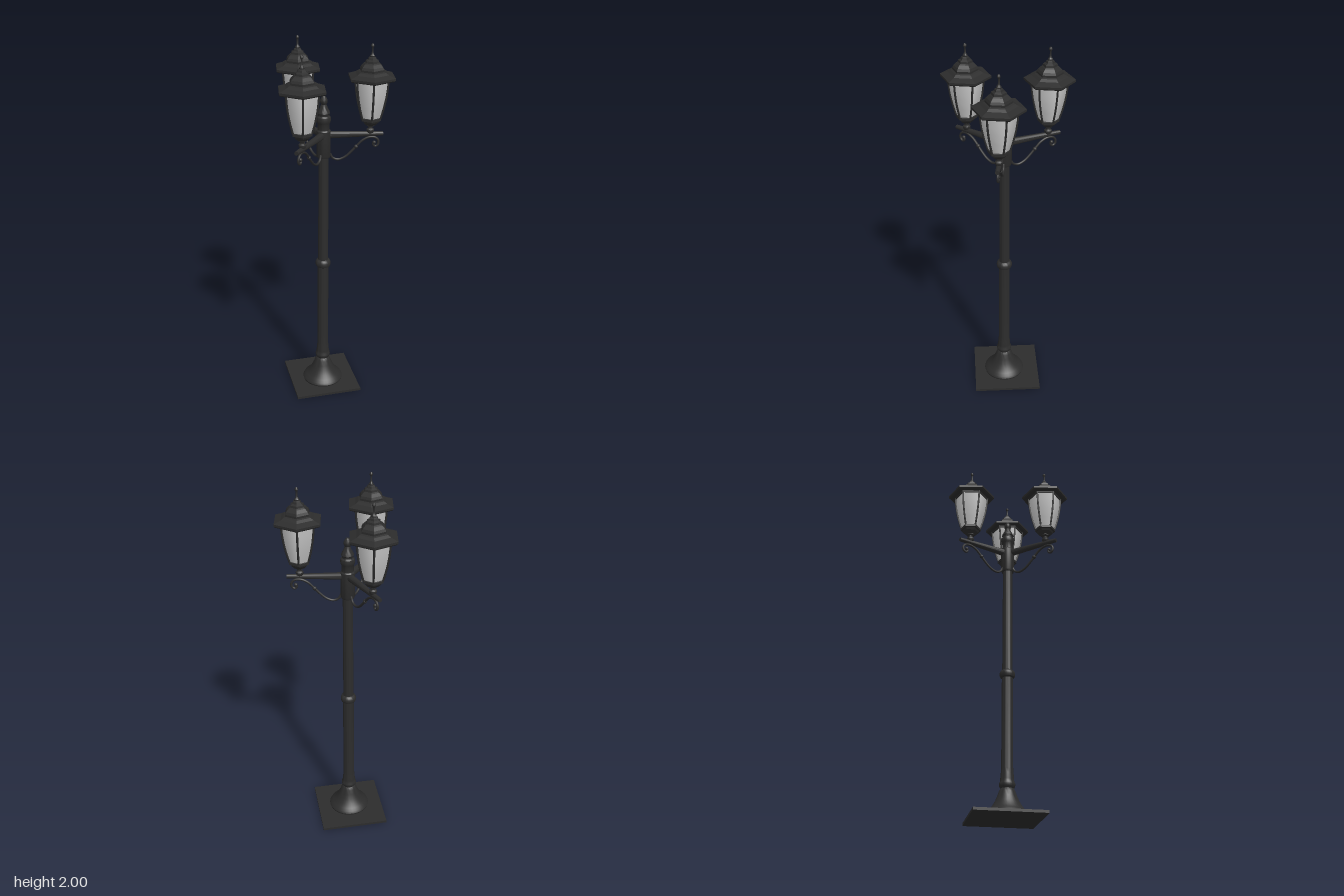
import * as THREE from 'three';
import { toCreasedNormals } from 'three/addons/utils/BufferGeometryUtils.js';

const iron = new THREE.MeshStandardMaterial({ color: 0x2c2c2c });
const ironFlat = new THREE.MeshStandardMaterial({ color: 0x2c2c2c, flatShading: true });
const glassMat = new THREE.MeshStandardMaterial({ color: 0xcccccc, side: THREE.DoubleSide });

function add(parent, name, geometry, material = iron) {
  const mesh = new THREE.Mesh(geometry, material);
  mesh.name = name;
  parent.add(mesh);
  return mesh;
}

// Profiles are [radius, height] pairs, bottom to top
function lathe(profile, sides) {
  return new THREE.LatheGeometry(profile.map(([r, y]) => new THREE.Vector2(r, y)), sides);
}
const turned = (profile, sides = 28) => toCreasedNormals(lathe(profile, sides), 0.6);

function tube(points, radius, segments, sides = 8) {
  const curve = new THREE.CatmullRomCurve3(points.map(([x, y, z = 0]) => new THREE.Vector3(x, y, z)));
  return new THREE.TubeGeometry(curve, segments, radius, sides);
}

// Six-sided lantern standing on y = 1.54
function createLantern() {
  const lantern = new THREE.Group();
  lantern.name = 'lantern';

  add(lantern, 'lanternFoot', turned([
    [0, 1.535], [0.016, 1.535], [0.02, 1.545], [0.02, 1.553], [0.012, 1.56], [0.012, 1.568],
    [0.022, 1.574], [0.022, 1.58], [0, 1.58],
  ], 12));
  add(lantern, 'lanternCup', lathe([
    [0, 1.576], [0.028, 1.578], [0.042, 1.592], [0.048, 1.603], [0.057, 1.605], [0.057, 1.618], [0.05, 1.622], [0, 1.622],
  ], 6), ironFlat);

  // Bowed glass panes
  const bow = [[0.052, 1.618], [0.067, 1.67], [0.079, 1.725], [0.086, 1.775], [0.09, 1.825]];
  add(lantern, 'glass', lathe(bow, 6), glassMat);

  // Corner ribs follow the glass
  for (let i = 0; i < 6; i++) {
    const rib = add(lantern, 'rib', tube(bow.map(([r, y]) => [r + 0.002, y]), 0.0055, 10, 6));
    rib.rotation.y = Math.PI / 6 + (i * Math.PI) / 3;
  }

  add(lantern, 'roof', lathe([
    [0, 1.812], [0.094, 1.812], [0.096, 1.822], [0.124, 1.818], [0.13, 1.824], [0.13, 1.835], [0.092, 1.848],
    [0.076, 1.858], [0.066, 1.862], [0.066, 1.872], [0.06, 1.884], [0.046, 1.898],
    [0.038, 1.903], [0.036, 1.913], [0.024, 1.919], [0.021, 1.928], [0.01, 1.934], [0, 1.936],
  ], 6), ironFlat);
  add(lantern, 'finial', turned([
    [0.012, 1.93], [0.013, 1.938], [0.007, 1.946], [0.0045, 1.955], [0.0045, 1.978],
    [0.008, 1.984], [0.0085, 1.99], [0.006, 1.996], [0, 2],
  ], 10));
  return lantern;
}

// Arm pointing along +x with its scroll and lantern
function createArm() {
  const arm = new THREE.Group();
  arm.name = 'arm';

  const bar = add(arm, 'armBar', toCreasedNormals(new THREE.CylinderGeometry(0.011, 0.02, 0.29, 14), 0.6));
  bar.rotation.z = -Math.PI / 2;
  bar.position.set(0.165, 1.528, 0);

  add(arm, 'scroll', tube([
    [0.264, 1.482], [0.26, 1.47], [0.27, 1.459], [0.284, 1.467], [0.287, 1.488], [0.272, 1.506], [0.242, 1.51],
    [0.205, 1.494], [0.175, 1.465], [0.145, 1.432], [0.11, 1.402], [0.075, 1.39], [0.048, 1.4], [0.033, 1.425],
  ], 0.0065, 70));
  const curlEnd = add(arm, 'curlBead', new THREE.SphereGeometry(0.01, 10, 8));
  curlEnd.position.set(0.265, 1.48, 0);
  const bead = add(arm, 'scrollBead', new THREE.SphereGeometry(0.011, 10, 8));
  bead.position.set(0.17, 1.459, 0);

  const lantern = createLantern();
  lantern.position.x = 0.243;
  arm.add(lantern);
  return arm;
}

export function createModel() {
  const model = new THREE.Group();
  model.name = 'streetLamp';

  // Square ground plate, turned to the arms
  const plate = add(model, 'basePlate', new THREE.BoxGeometry(0.373, 0.014, 0.373));
  plate.position.set(0.046, 0.007, 0.013);
  plate.rotation.y = THREE.MathUtils.degToRad(48.9);

  const post = new THREE.Group();
  post.name = 'post';
  post.position.set(0.039, 0, 0.024);
  model.add(post);

  add(post, 'bellFoot', turned([
    [0, 0.012], [0.112, 0.014], [0.114, 0.022], [0.108, 0.034], [0.094, 0.046], [0.077, 0.066],
    [0.063, 0.09], [0.052, 0.115], [0.043, 0.14], [0.036, 0.154], [0.03, 0.16], [0, 0.16],
  ], 36));
  add(post, 'column', turned([
    [0.032, 0.155], [0.04, 0.166], [0.042, 0.176], [0.041, 0.184], [0.036, 0.194], [0.036, 0.204],
    [0.033, 0.235], [0.031, 0.26], [0.03, 0.757], [0.038, 0.762], [0.042, 0.772], [0.042, 0.785],
    [0.037, 0.796], [0.028, 0.802], [0.0265, 1.41],
  ]));
  add(post, 'hub', turned([
    [0, 1.405], [0.033, 1.405], [0.037, 1.415], [0.037, 1.55], [0.031, 1.557], [0.031, 1.59],
    [0.036, 1.598], [0.038, 1.612], [0.036, 1.625], [0.029, 1.632], [0.029, 1.64], [0.033, 1.646], [0.029, 1.658],
    [0.02, 1.675], [0.014, 1.692], [0.019, 1.702], [0.02, 1.713], [0.014, 1.726], [0.007, 1.736], [0, 1.738],
  ]));

  // Three arms, evenly spaced
  for (let i = 0; i < 3; i++) {
    const arm = createArm();
    arm.rotation.y = -THREE.MathUtils.degToRad(50.8 + i * 120);
    post.add(arm);
  }
  return model;
}
